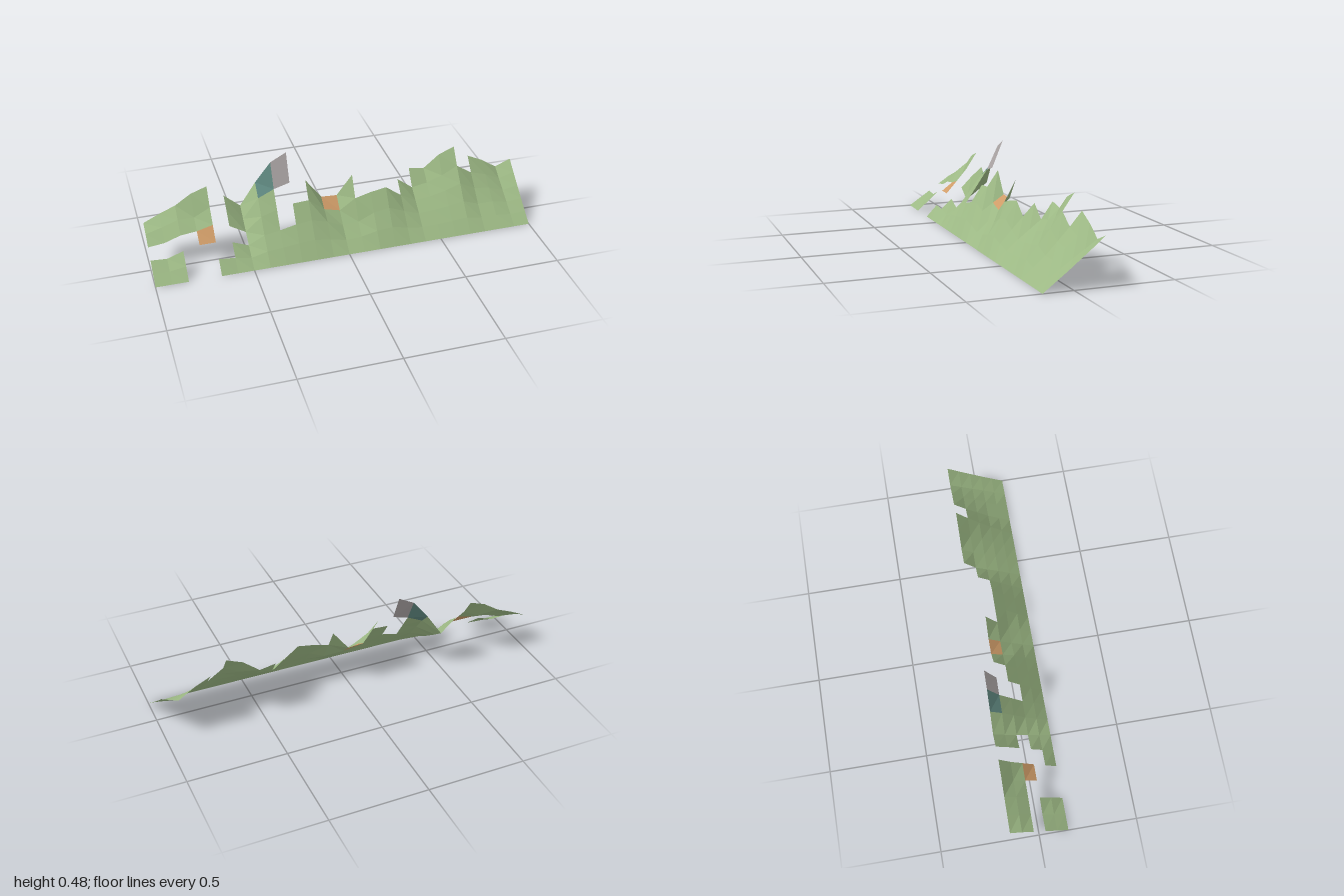
import * as THREE from 'three';

const COLS = 24, CELL_X = 2 / COLS, CELL_Z = 0.06;

// height profiles along x at grid lines 2, 4 and 5 (line 0 is the flat front edge)
const mid = [.08, .075, .105, .125, .125, .11, .075, .12, .135, .155, .165, .14, .1,
  .11, .15, .165, .13, .1, .105, .115, .13, .1, .1, .08, .09];
const upper = [.16, .185, .215, .215, .26, .23, .16, .27, .31, .335, .335, .22, .215,
  .325, .33, .345, .255, .19, .205, .235, .28, .225, .2, .16, .185];
const back = [.19, .23, .265, .32, .35, .28, .205, .33, .435, .48, .4, .28, .27,
  .4, .4, .4, .31, .275, .26, .33, .365, .295, .255, .2, .235];

function height(i, j) {
  if (j <= 2) return mid[i] * j / 2;
  if (j === 3) return (mid[i] + upper[i]) / 2;
  return j === 4 ? upper[i] : back[i];
}

// cells of each column from front to back: g grass, o clay, t teal, s stone, . gap
const columns = [
  'gg.gg', 'gg.gg', '...gg', '..ogg', 'g....', 'gg.gg', 'ggggg', 'ggggt',
  'gg..s', 'ggg..', 'gggg.', 'gggo.', 'gggg.', 'ggg..', 'ggg..', 'ggg..',
  'gggg.', 'ggggg', 'ggggg', 'ggggg', 'gggg.', 'ggggg', 'ggggg', 'ggggg',
];

const patches = {
  g: ['grassSlope', 'grass green', 0x9cb884],
  o: ['clayPatches', 'clay orange', 0xcf9c68],
  t: ['tealPatch', 'slate teal', 0x5f8880],
  s: ['stonePeak', 'stone grey', 0xaaa4a4],
};

// faceted sheet made of every cell with the given key
function buildPatch(key) {
  const pos = [];
  const corner = (i, j) => pos.push(-1 + i * CELL_X, height(i, j), 0.15 - j * CELL_Z);
  columns.forEach((column, i) => {
    [...column].forEach((cell, j) => {
      if (cell !== key) return;
      // split from back left to front right
      corner(i, j); corner(i + 1, j); corner(i, j + 1);
      corner(i + 1, j); corner(i + 1, j + 1); corner(i, j + 1);
    });
  });
  const geometry = new THREE.BufferGeometry();
  geometry.setAttribute('position', new THREE.Float32BufferAttribute(pos, 3));
  geometry.computeVertexNormals();
  return geometry;
}

export function createModel() {
  const group = new THREE.Group();
  group.name = 'terrainFragment';
  for (const [key, [name, colorName, color]] of Object.entries(patches)) {
    const material = new THREE.MeshStandardMaterial({ color, side: THREE.DoubleSide });
    material.name = colorName;
    const mesh = new THREE.Mesh(buildPatch(key), material);
    mesh.name = name;
    group.add(mesh);
  }
  return group;
}
